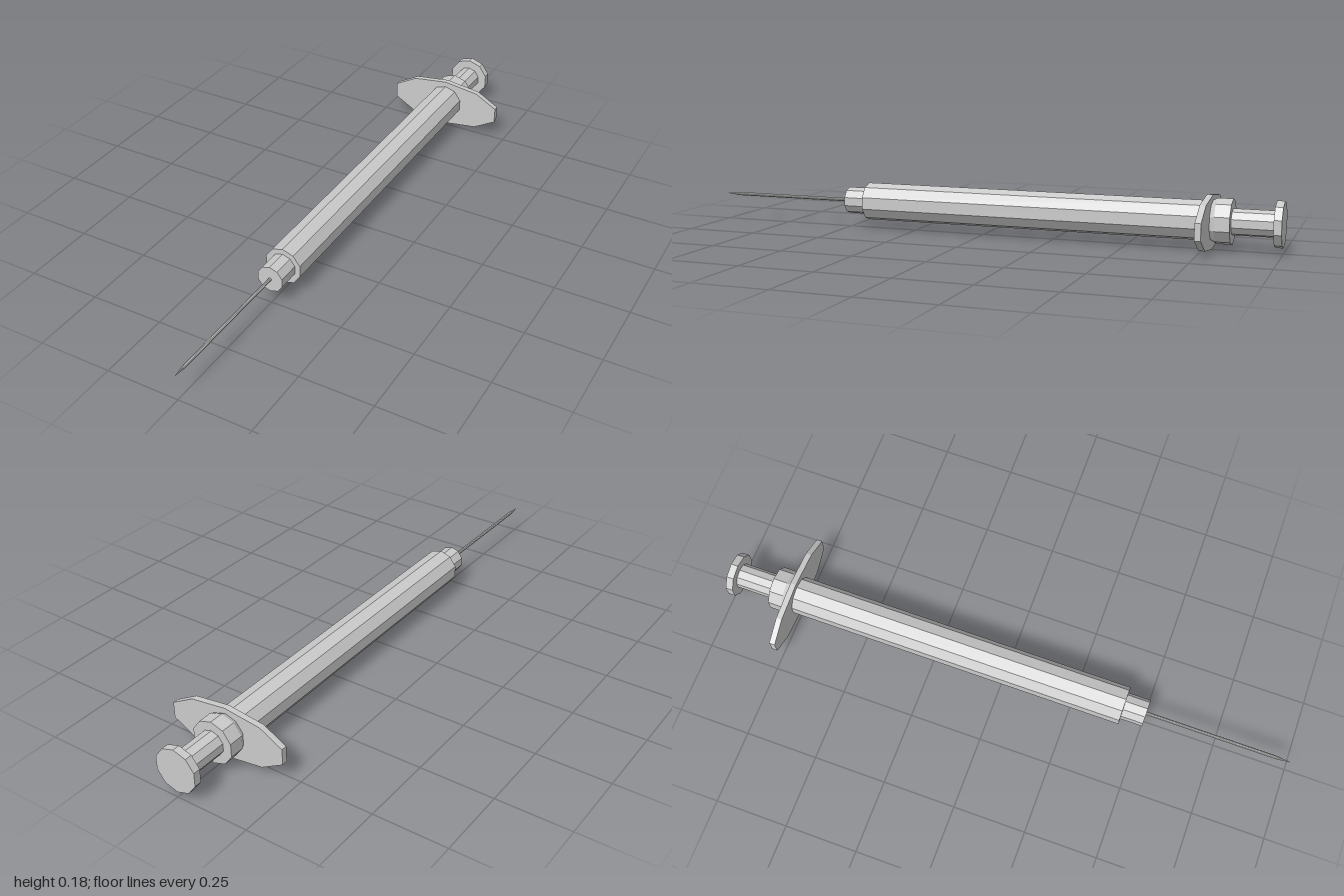
import * as THREE from 'three';

const SIDES = 10;
const AXIS_Y = 0.094;

export function createModel() {
  const model = new THREE.Group();
  const material = new THREE.MeshStandardMaterial({ color: 0xcccccc, flatShading: true });

  // Ten-sided turned part along z; profile is [radius, z] pairs from back to front, capped at both ends
  function turned(name, profile, y = AXIS_Y) {
    const back = profile[0][1];
    const front = profile[profile.length - 1][1];
    const points = [[0, back], ...profile, [0, front]].map(([r, z]) => new THREE.Vector2(r, z));
    const geometry = new THREE.LatheGeometry(points, SIDES);
    geometry.rotateX(Math.PI / 2);
    const mesh = new THREE.Mesh(geometry, material);
    mesh.name = name;
    mesh.position.y = y;
    model.add(mesh);
    return mesh;
  }

  // Needle with a tapered point
  turned('needle', [[0.006, 0.49], [0.006, 0.95], [0.0008, 1]]);

  // Needle hub and barrel
  turned('needleHub', [[0.046, 0.42], [0.046, 0.503]]);
  turned('barrel', [[0.065, -0.76], [0.065, 0.426]]);

  // Finger grip: the same ten-sided disc stretched into an oval plate
  const grip = turned('fingerGrip', [[1, -0.777], [1, -0.757]], 0.0895);
  grip.scale.set(0.2175, 0.0885, 1);

  // Collar behind the grip, narrowing towards it
  turned('collar', [[0.074, -0.841], [0.074, -0.792], [0.065, -0.775]]);

  // Plunger rod and thumb rest
  turned('plungerRod', [[0.043, -0.98], [0.043, -0.835]]);
  turned('thumbRest', [[0.075, -1], [0.075, -0.975]]);

  return model;
}
